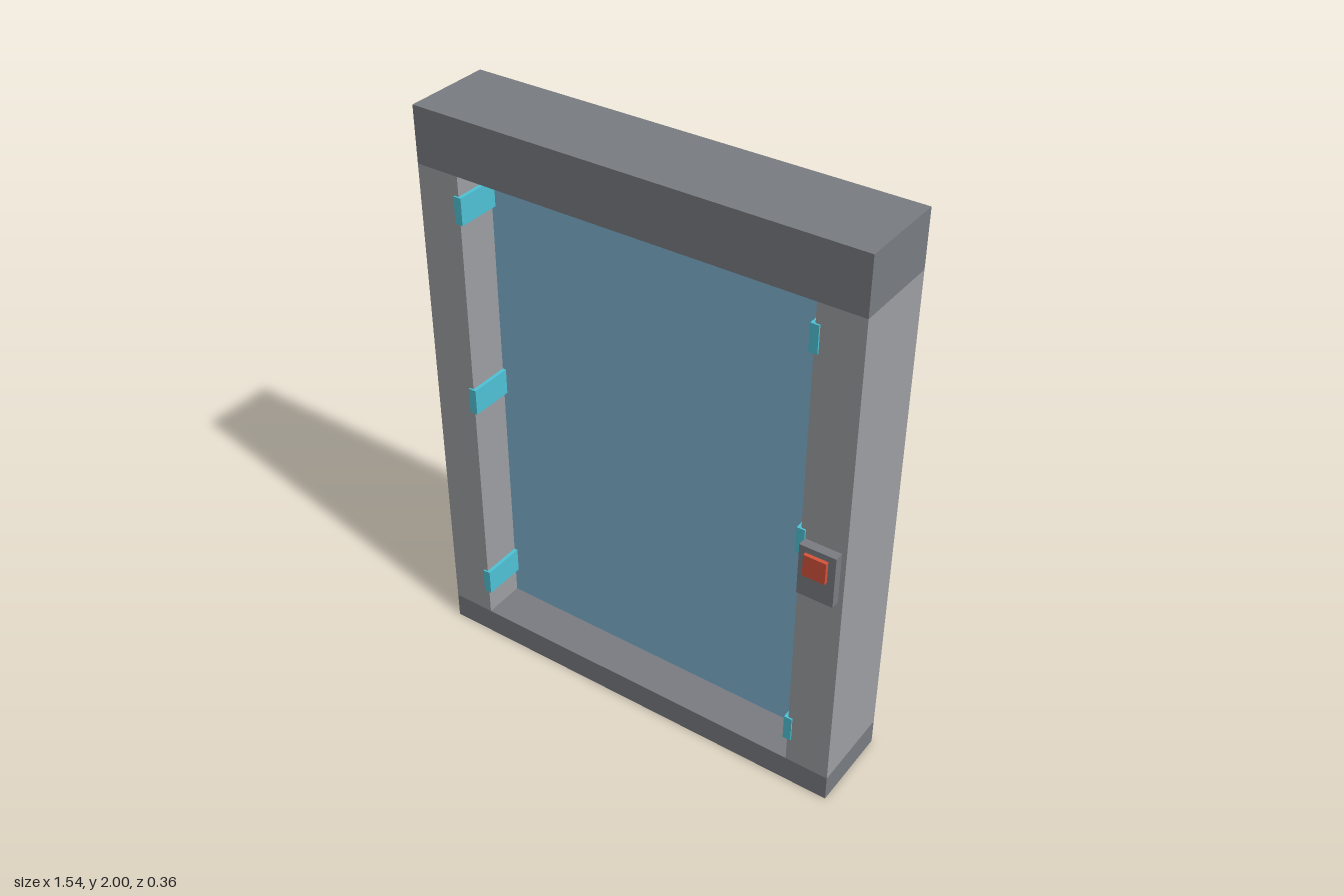
import * as THREE from 'three';

const material = (name, color) => {
  const m = new THREE.MeshStandardMaterial({ color });
  m.name = name;
  return m;
};

export function createModel() {
  const postGray = material('light gray', 0x9da0a4);
  const railGray = material('dark gray', 0x7a7d82);
  const paneBlue = material('pane blue', 0x80b6d5);
  const clipCyan = material('clip cyan', 0x4fc3d6);
  const buttonRed = material('button red', 0xd6543b);

  const model = new THREE.Group();
  model.name = 'framedDoorway';

  // Adds a box given its minimum and maximum on each axis
  const box = (name, mat, [x0, x1], [y0, y1], [z0, z1]) => {
    const mesh = new THREE.Mesh(new THREE.BoxGeometry(x1 - x0, y1 - y0, z1 - z0), mat);
    mesh.position.set((x0 + x1) / 2, (y0 + y1) / 2, (z0 + z1) / 2);
    mesh.name = name;
    model.add(mesh);
  };
  const mirrorX = (side, a, b) => (side > 0 ? [a, b] : [-b, -a]);

  const depth = [-0.174, 0.134];
  const sill = 0.093, head = 1.81, outer = 0.768, inner = 0.615;

  // Rails across the full width
  box('bottomRail', railGray, [-outer, outer], [0, sill], depth);
  box('topRail', railGray, [-outer, outer], [head, 2], depth);

  // Posts and the clips wrapped round their inner edges
  for (const side of [1, -1]) {
    const label = side > 0 ? 'left' : 'right';
    box(label + 'Post', postGray, mirrorX(side, inner, outer), [sill, head], depth);
    for (const y of [0.235, 1.005, 1.698]) {
      box(label + 'Clip', clipCyan, mirrorX(side, 0.602, 0.63), [y - 0.046, y + 0.046], [-0.18, 0.14]);
    }
  }

  // Thin pane in the middle of the frame
  box('pane', paneBlue, [-inner, inner], [sill, head], [-0.025, -0.015]);

  // Control box with its button
  box('controlBox', railGray, [0.629, 0.752], [0.835, 1.018], [0.134, 0.166]);
  box('button', buttonRed, [0.651, 0.727], [0.92, 0.997], [0.166, 0.179]);

  return model;
}
